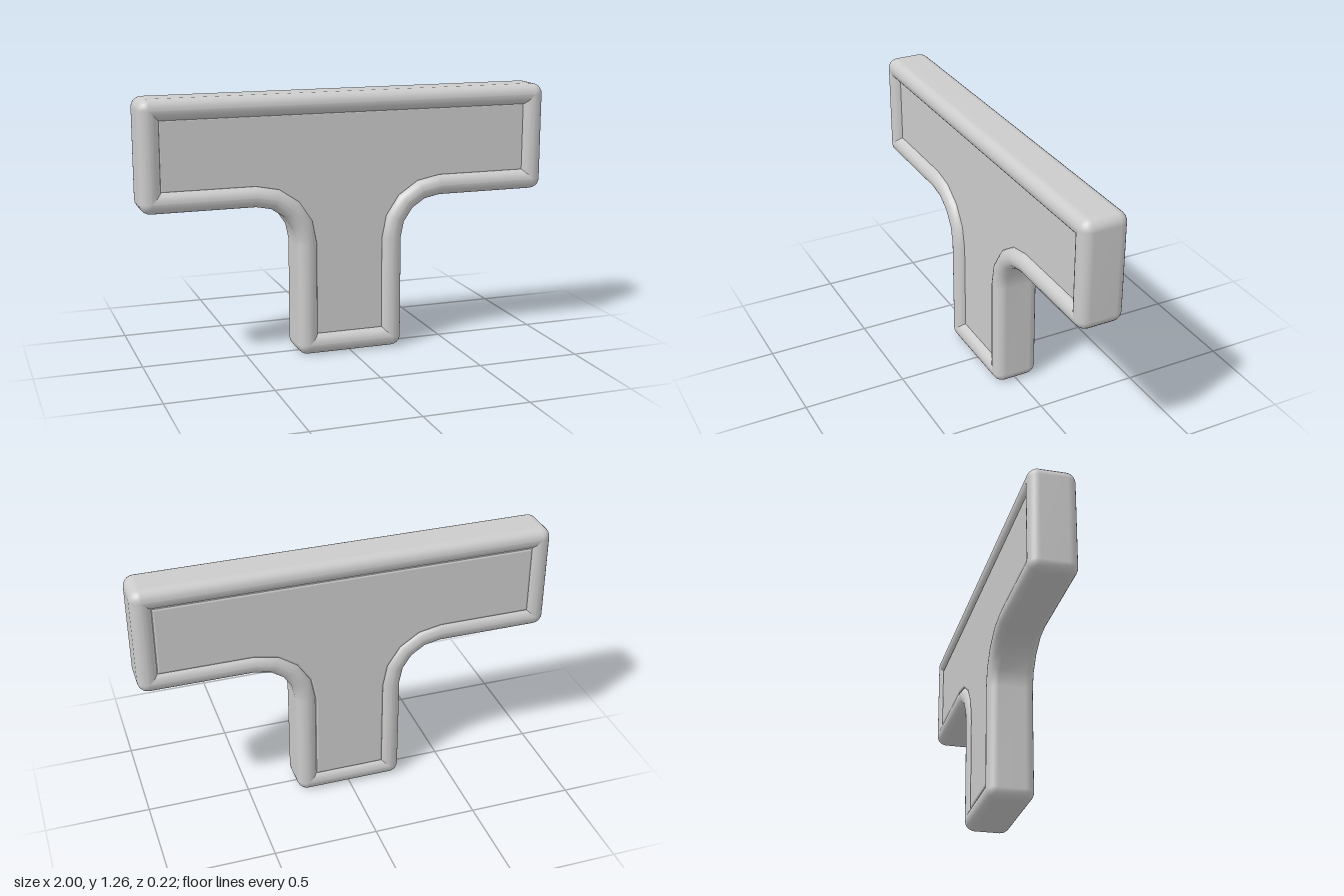
import * as THREE from 'three';

const CORNER = 0.05;   // radius of the rounded outer corners
const HEIGHT = 1.262;

// T-shaped outline moved inward by d, counter-clockwise, always the same point count
function outline(d) {
  const right = [];
  const arc = (cx, cy, r, from, to, steps) => {
    for (let i = 0; i <= steps; i++) {
      const a = THREE.MathUtils.degToRad(from + (to - from) * i / steps);
      right.push(new THREE.Vector2(cx + r * Math.cos(a), cy + r * Math.sin(a)));
    }
  };
  const r = Math.max(CORNER - d, 0);
  const inset = Math.max(CORNER, d);
  arc(0.263 - inset, inset, r, -90, 0, 5);                // foot of the stem
  arc(0.46, 0.543, 0.197 + d, 180, 90, 4);                // concave bend under the bar
  arc(1 - inset, 0.74 + inset, r, -90, 0, 5);             // lower end of the bar
  arc(1 - inset, HEIGHT - inset, r, 0, 90, 5);            // upper end of the bar
  const left = right.map(p => new THREE.Vector2(-p.x, p.y)).reverse();
  return [...right, ...left];
}

// Rounded-rectangle cross-section of the rim: [inward offset, z]
function rimProfile(width, halfDepth, r) {
  const pts = [];
  const corners = [[r, halfDepth - r, 180], [width - r, halfDepth - r, 90],
    [width - r, r - halfDepth, 0], [r, r - halfDepth, -90]];
  for (const [cd, cz, start] of corners) {
    for (let i = 0; i <= 6; i++) {
      const a = THREE.MathUtils.degToRad(start - 15 * i);
      pts.push([cd + r * Math.cos(a), cz + r * Math.sin(a)]);
    }
  }
  return pts;
}

// Sweep the rim section around the outline
function rimGeometry() {
  const profile = rimProfile(0.1, 0.11, 0.048);
  const loops = profile.map(([d]) => outline(d));
  const m = profile.length, n = loops[0].length;
  const positions = [], index = [];
  for (let j = 0; j < m; j++) {
    for (let i = 0; i < n; i++) {
      positions.push(loops[j][i].x, loops[j][i].y, profile[j][1]);
      const a = j * n + i, b = j * n + (i + 1) % n;
      const c = ((j + 1) % m) * n + i, e = ((j + 1) % m) * n + (i + 1) % n;
      index.push(a, b, c, b, e, c);
    }
  }
  const geo = new THREE.BufferGeometry();
  geo.setAttribute('position', new THREE.Float32BufferAttribute(positions, 3));
  geo.setIndex(index);
  geo.computeVertexNormals();
  return geo;
}

// Inner plate with a small bevel, set back at the front and nearly flush at the back
function panelGeometry() {
  const pts = outline(0.09).filter((p, i, all) => i === 0 || p.distanceTo(all[i - 1]) > 1e-4);
  const geo = new THREE.ExtrudeGeometry(new THREE.Shape(pts), {
    depth: 0.148, bevelEnabled: true, bevelThickness: 0.012,
    bevelSize: 0.012, bevelOffset: -0.012, bevelSegments: 2,
  });
  geo.translate(0, 0, -0.085);
  return geo;
}

export function createModel() {
  const group = new THREE.Group();
  group.name = 'tShapedPlaque';
  const material = new THREE.MeshStandardMaterial({ color: 0xcccccc });

  const rim = new THREE.Mesh(rimGeometry(), material);
  rim.name = 'roundedRim';
  const panel = new THREE.Mesh(panelGeometry(), material);
  panel.name = 'innerPanel';

  group.add(rim, panel);
  return group;
}
